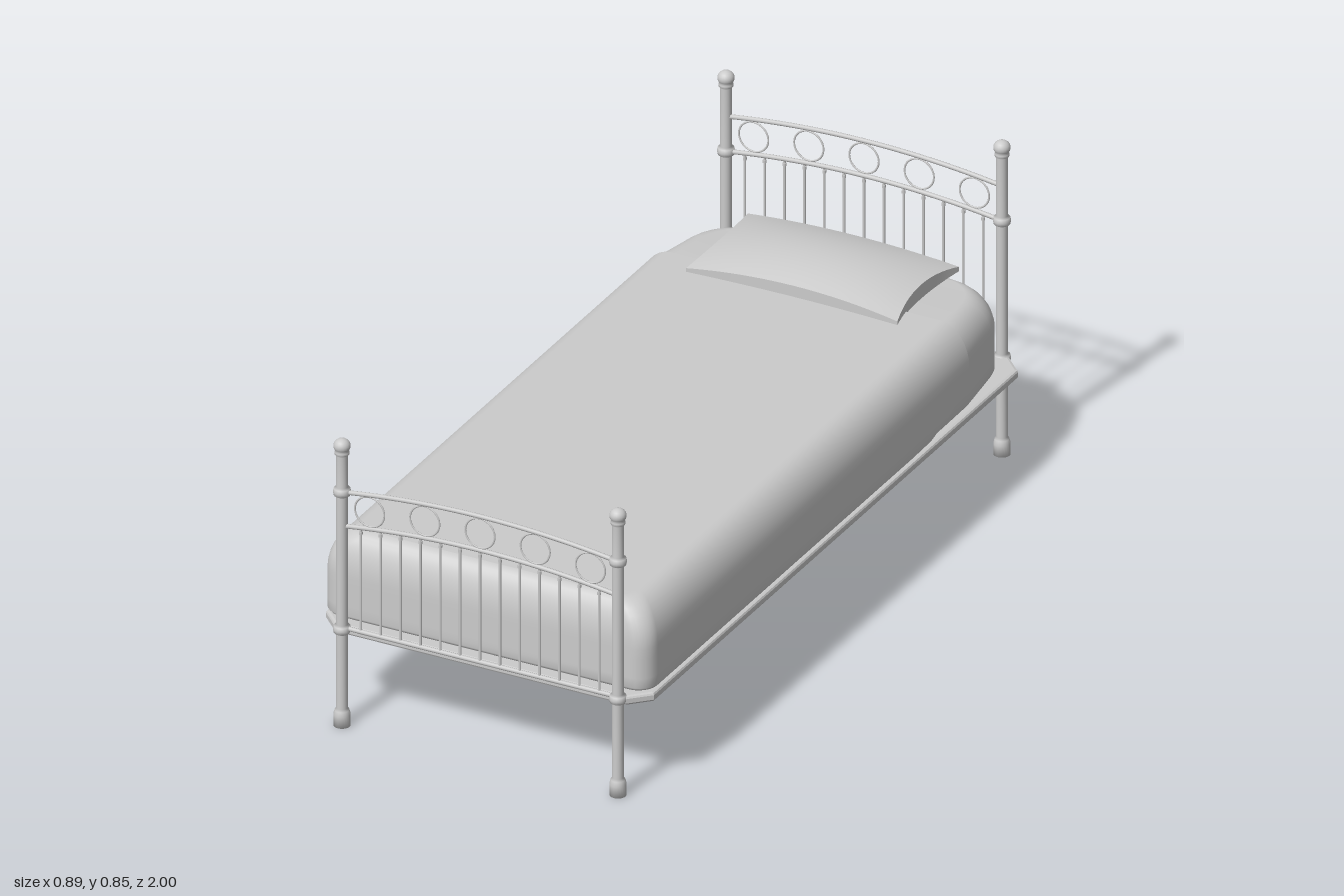
import * as THREE from 'three';

const material = new THREE.MeshStandardMaterial({ color: 0xcccccc });
const clothMaterial = new THREE.MeshStandardMaterial({ color: 0xcccccc, side: THREE.DoubleSide });

const POST_X = 0.375, POST_Z = 0.978, BASE_Y = 0.262;

function add(parent, name, geometry, x = 0, y = 0, z = 0, mat = material) {
  const mesh = new THREE.Mesh(geometry, mat);
  mesh.name = name;
  mesh.position.set(x, y, z);
  parent.add(mesh);
  return mesh;
}

// Skin a stack of equally long rings of [x, y, z] points
function loft(rings, closed) {
  const n = rings[0].length, index = [];
  for (let j = 0; j < rings.length - 1; j++) {
    for (let i = 0; i < (closed ? n : n - 1); i++) {
      const k = (i + 1) % n, a = j * n, b = a + n;
      index.push(a + i, b + i, a + k, b + i, b + k, a + k);
    }
  }
  const geometry = new THREE.BufferGeometry();
  geometry.setAttribute('position', new THREE.Float32BufferAttribute(rings.flat(2), 3));
  geometry.setIndex(index);
  geometry.computeVertexNormals();
  return geometry;
}

// Plan outline from the head on +x, around the foot, to the head on -x
function outline(y, hw, zFoot, zHead, rFoot, rHead) {
  const half = [], steps = 6;
  if (rHead > 0) {
    for (let i = 0; i <= steps; i++) {
      const a = (i / steps) * Math.PI / 2;
      half.push([hw - rHead + rHead * Math.sin(a), y, zHead + rHead - rHead * Math.cos(a)]);
    }
  } else half.push([hw, y, zHead]);
  const z0 = zHead + rHead, z1 = zFoot - rFoot;
  for (let i = 1; i < 12; i++) half.push([hw, y, z0 + (z1 - z0) * i / 12]);
  for (let i = 0; i <= steps; i++) {
    const a = (i / steps) * Math.PI / 2;
    half.push([hw - rFoot + rFoot * Math.cos(a), y, z1 + rFoot * Math.sin(a)]);
  }
  return [...half, ...half.slice().reverse().map(([x, h, z]) => [-x, h, z])];
}

// Side profile: levels of [y, inset across, inset along], rounded at the top
function levels(bottom, top, rx, ry, rz) {
  const list = [[bottom, 0.014, 0.014], [bottom + 0.004, 0.005, 0.005], [bottom + 0.012, 0, 0]];
  for (let i = 1; i <= 4; i++) list.push([bottom + 0.012 + (top - ry - bottom - 0.012) * i / 4, 0, 0]);
  for (let i = 1; i <= 8; i++) {
    const a = (i / 8) * Math.PI / 2, c = 1 - Math.cos(a);
    list.push([top - ry + ry * Math.sin(a), rx * c, rz * c]);
  }
  return list;
}

const flatten = ring => ring.map(([, y, z]) => [0, y, z]);

function mattressGeometry() {
  const rings = levels(0.274, 0.493, 0.07, 0.09, 0.03).map(([y, ix, iz]) =>
    outline(y, 0.437 - ix, 0.945 - iz, -0.945 + iz, 0.05, 0.1));
  rings.unshift(flatten(rings[0]));
  rings.push(flatten(rings[rings.length - 1]));
  // Narrow and lower the head end a little
  for (const ring of rings) for (const p of ring) {
    const t = THREE.MathUtils.smoothstep(-p[2], 0.66, 0.93);
    p[0] *= 1 - 0.06 * t;
    p[1] -= 0.016 * t * THREE.MathUtils.smoothstep(p[1], 0.3, 0.49);
  }
  return loft(rings, true);
}

function coverGeometry() {
  const rings = levels(0.274, 0.502, 0.08, 0.11, 0.05).map(([y, ix, iz]) => {
    const t = THREE.MathUtils.clamp((0.41 - y) / 0.13, 0, 1);
    const edge = -0.68 + 0.28 * (1 - Math.sqrt(1 - t * t));
    return outline(y, 0.446 - ix, 0.957 - iz, edge, 0.05, 0);
  });
  rings.push(flatten(rings[rings.length - 1]));
  return loft(rings, false);
}

// Pillow with pinched edges, drooping corners and an arched top
function pillowGeometry() {
  const geometry = new THREE.BoxGeometry(2, 2, 2, 20, 2, 14);
  const p = geometry.attributes.position;
  for (let i = 0; i < p.count; i++) {
    const u = p.getX(i), h = (p.getY(i) + 1) / 2, v = p.getZ(i);
    const au = 1 - u * u, av = 1 - v * v;
    const top = 0.512 + 0.02 * (au + av) + 0.006 * au * av;
    const bottom = 0.494 + 0.006 * (1 - au) * (1 - av);
    p.setXYZ(i, 0.287 * u * (1 - 0.07 * av), bottom + (top - bottom) * h,
      -0.767 + 0.157 * v * (1 - 0.06 * au));
  }
  geometry.computeVertexNormals();
  return geometry;
}

// Flat base with chamfered corners
function baseGeometry() {
  const w = 0.438, l = 0.969, c = 0.045;
  const shape = new THREE.Shape([[w, l - c], [w - c, l], [c - w, l], [-w, l - c],
    [-w, c - l], [c - w, -l], [w - c, -l], [w, c - l]].map(q => new THREE.Vector2(...q)));
  const geometry = new THREE.ExtrudeGeometry(shape, {
    depth: 0.012, bevelThickness: 0.006, bevelSize: 0.008, bevelSegments: 2
  });
  return geometry.rotateX(-Math.PI / 2);
}

// Turned post with flared foot, collars and ball finial
function postGeometry(ballY) {
  const points = [[0, 0], [0.021, 0], [0.021, 0.03], [0.018, 0.042], [0.014, 0.048]];
  for (const y of [BASE_Y, 0.636]) {
    points.push([0.014, y - 0.013], [0.02, y - 0.009], [0.022, y], [0.02, y + 0.009], [0.014, y + 0.013]);
  }
  points.push([0.014, ballY - 0.026], [0.018, ballY - 0.022], [0.018, ballY - 0.016]);
  for (let i = 0; i <= 8; i++) {
    const a = -0.7 + (i / 8) * (Math.PI / 2 + 0.7);
    points.push([0.021 * Math.cos(a), ballY + 0.019 * Math.sin(a)]);
  }
  return new THREE.LatheGeometry(points.map(q => new THREE.Vector2(Math.max(q[0], 0), q[1])), 20);
}

const arch = (x, end) => end + 0.028 * (1 - (x / POST_X) ** 2);

function archedRail(end) {
  const points = [];
  for (let i = -6; i <= 6; i++) {
    const x = POST_X * i / 6;
    points.push(new THREE.Vector3(x, arch(x, end), 0));
  }
  return new THREE.TubeGeometry(new THREE.CatmullRomCurve3(points), 24, 0.006, 8);
}

// End frame: two posts, two arched rails, rings between them and bars below
function endFrame(name, z, ballY, upper, lower) {
  const frame = new THREE.Group();
  frame.name = name;
  frame.position.z = z;
  for (const side of [-1, 1]) add(frame, 'post', postGeometry(ballY), side * POST_X);
  add(frame, 'upperRail', archedRail(upper));
  add(frame, 'lowerRail', archedRail(lower));
  const bottomRail = add(frame, 'bottomRail', new THREE.CylinderGeometry(0.006, 0.006, POST_X * 2, 8), 0, BASE_Y + 0.004);
  bottomRail.rotation.z = Math.PI / 2;
  for (let i = -2; i <= 2; i++) {
    const x = i * 0.15;
    add(frame, 'ring', new THREE.TorusGeometry(0.04, 0.0025, 6, 32), x, (arch(x, upper) + arch(x, lower)) / 2);
  }
  for (let i = -6; i <= 6; i++) {
    const x = i * 0.054, top = arch(x, lower);
    add(frame, 'bar', new THREE.CylinderGeometry(0.0035, 0.0035, top - BASE_Y, 8), x, (top + BASE_Y) / 2);
    add(frame, 'barCollar', new THREE.CylinderGeometry(0.005, 0.005, 0.008, 8), x, top - 0.014);
  }
  return frame;
}

export function createModel() {
  const bed = new THREE.Group();
  bed.name = 'bed';
  bed.add(endFrame('headboard', -POST_Z, 0.834, 0.729, 0.634));
  bed.add(endFrame('footboard', POST_Z, 0.76, 0.634, 0.542));
  add(bed, 'base', baseGeometry(), 0, 0.252);
  add(bed, 'mattress', mattressGeometry());
  add(bed, 'cover', coverGeometry(), 0, 0, 0, clothMaterial);
  add(bed, 'pillow', pillowGeometry());
  return bed;
}
